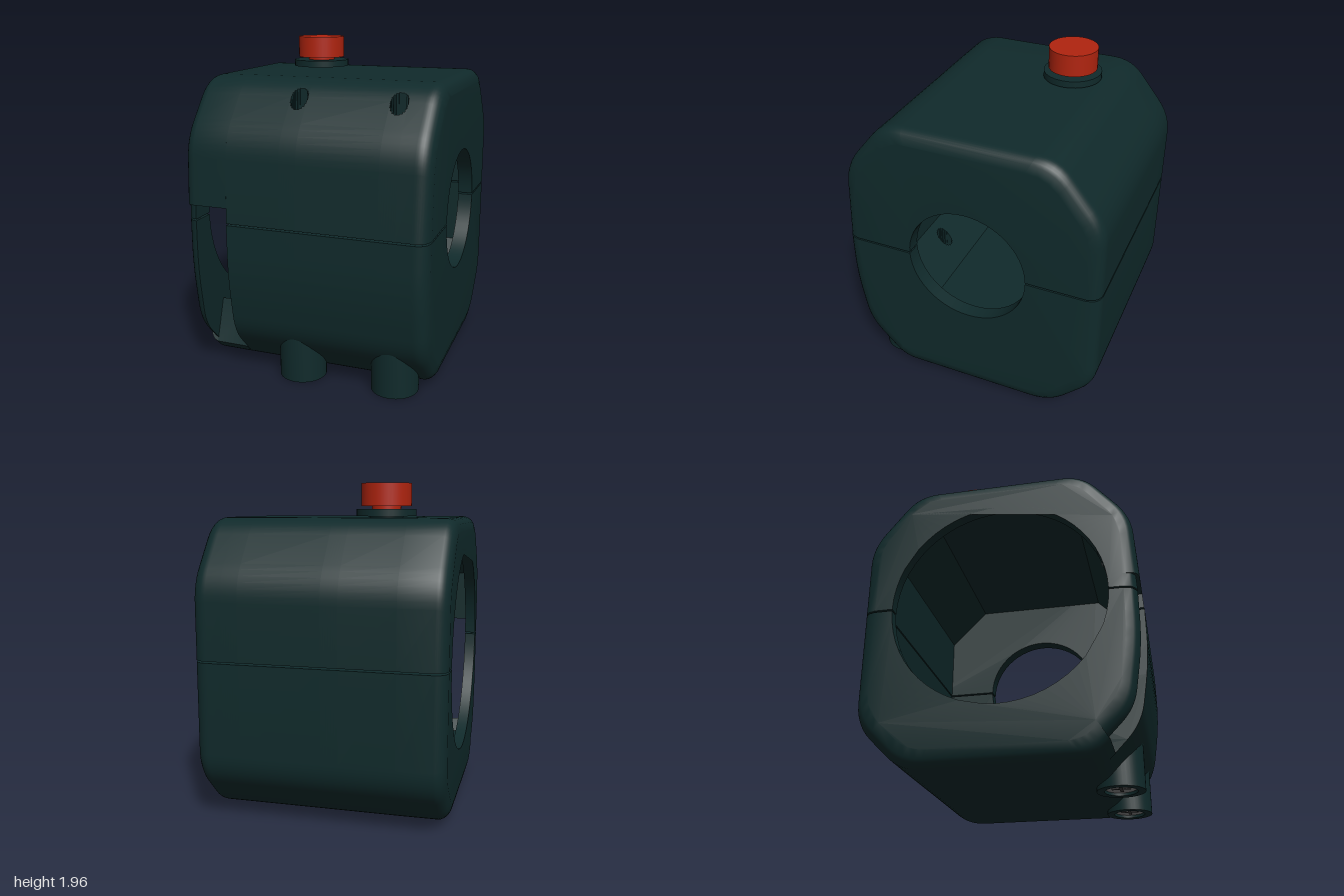
import * as THREE from 'three';
import { mergeGeometries, toCreasedNormals } from 'three/addons/utils/BufferGeometryUtils.js';

const CY = 0.957;      // height of the bore axis and the split
const GAP = 0.005;     // half of the gap between the two shells
const HALF = 0.727;    // half length along the bore
const EDGE = 0.08;     // rounding of the end edges
const HOLE_X = -0.58, HOLE_R = 0.05, HOLES = [-0.08, 0.497];
const TOP = CY + GAP, LOW = CY - GAP;

// Polyline through [x, y, cornerRadius] points
function rounded(pts) {
  const out = [];
  pts.forEach(([x, y, r], i) => {
    const p = new THREE.Vector2(x, y);
    if (!r) { out.push(p); return; }
    const toward = (q) => p.clone().add(new THREE.Vector2(q[0] - x, q[1] - y).setLength(r));
    const curve = new THREE.QuadraticBezierCurve(toward(pts[i - 1]), p, toward(pts[i + 1]));
    out.push(...curve.getPoints(6));
  });
  return out;
}

// Half circle of the bore, from the -x side to the +x side
function halfBore(r, up) {
  const out = [];
  for (let i = 0; i <= 28; i++) {
    const a = Math.PI * (1 - i / 28);
    const y = r * Math.sin(a);
    out.push(new THREE.Vector2(r * Math.cos(a), up ? Math.max(CY + y, TOP) : Math.min(CY - y, LOW)));
  }
  return out;
}

// Keeps the part of a polygon on one side of x = a
function clip(poly, a, sign) {
  const out = [];
  poly.forEach((p, i) => {
    const q = poly[(i + 1) % poly.length];
    const dp = (p.x - a) * sign, dq = (q.x - a) * sign;
    if (dp >= 0) out.push(p);
    if (dp * dq < 0) out.push(p.clone().lerp(q, dp / (dp - dq)));
  });
  return out;
}

// Extrudes a section along the bore and rounds the outer edges near the ends
function slab(poly, u0, u1, steps = 1) {
  const g = new THREE.ExtrudeGeometry(new THREE.Shape(poly), { depth: u1 - u0, steps, bevelEnabled: false });
  g.translate(0, 0, u0);
  const p = g.attributes.position;
  for (let i = 0; i < p.count; i++) {
    const x = p.getX(i), y = p.getY(i) - CY;
    const d = Math.min(EDGE, Math.abs(p.getZ(i)) - (HALF - EDGE));
    if (d <= 0 || Math.hypot(x, y) < 0.7) continue;
    const k = 1 - (EDGE - Math.sqrt(EDGE * EDGE - d * d)) / 0.85;
    p.setXY(i, x * k, CY + y * k);
  }
  return g;
}

// One shell: bored end walls, hollow middle, side slot and screw holes
function shell(s) {
  const parts = [
    slab([...s.outerPlate, ...s.boreBig], -HALF, -0.66, 6),
    slab(s.slotSection, -0.66, -0.454),
    slab([...s.outer, ...s.boreSmall], 0.637, HALF, 7),
  ];
  const main = [...s.outer, ...s.inner];
  let u = -0.454;
  for (const c of HOLES) {
    parts.push(slab(main, u, c - HOLE_R));
    const n = 10;
    for (let i = 0; i < n; i++) {
      const a0 = Math.PI * i / n, a1 = Math.PI * (i + 1) / n;
      const w = HOLE_R * Math.sin((a0 + a1) / 2);
      for (const side of [-1, 1]) {
        parts.push(slab(clip(main, HOLE_X + side * w, side),
          c - HOLE_R * Math.cos(a0), c - HOLE_R * Math.cos(a1)));
      }
    }
    u = c + HOLE_R;
  }
  parts.push(slab(main, u, 0.637));
  return toCreasedNormals(mergeGeometries(parts), 0.55);
}

export function createModel() {
  const model = new THREE.Group();
  const body = new THREE.MeshStandardMaterial({ color: 0x102a2b });
  const red = new THREE.MeshStandardMaterial({ color: 0xb0240f });
  const steel = new THREE.MeshStandardMaterial({ color: 0x858585 });
  const groove = new THREE.MeshStandardMaterial({ color: 0x3a3a3a });
  body.name = 'darkTeal'; red.name = 'buttonRed'; steel.name = 'screwGrey'; groove.name = 'grooveGrey';

  const add = (parent, name, geo, mat, x = 0, y = 0, z = 0) => {
    const m = new THREE.Mesh(geo, mat);
    m.name = name;
    m.position.set(x, y, z);
    parent.add(m);
    return m;
  };
  const cyl = (r, h) => new THREE.CylinderGeometry(r, r, h, 40);
  const v = (x, y) => new THREE.Vector2(x, y);

  // Housing, with its bore along local z
  const housing = new THREE.Group();
  housing.name = 'housing';
  housing.rotation.y = 1.1537;
  model.add(housing);

  const crown = [[0.8, TOP], [0.8, 1.42, 0.12], [0.52, 1.765, 0.12], [-0.5, 1.765, 0.12], [-0.765, 1.45, 0.12]];
  const crownInner = [v(-0.43, 1.61), v(0.43, 1.61), v(0.67, 1.37), v(0.67, TOP)];
  add(housing, 'upperShell', shell({
    outer: rounded([...crown, [-0.795, TOP]]),
    outerPlate: rounded([...crown, [-0.79, 1.05], [-0.77, 1.05], [-0.775, TOP]]),
    inner: [v(-0.67, TOP), v(-0.67, 1.37), ...crownInner],
    slotSection: [...rounded([...crown, [-0.79, 1.05]]), v(-0.67, 1.05), v(-0.67, 1.37), ...crownInner],
    boreBig: halfBore(0.62, true),
    boreSmall: halfBore(0.365, true),
  }), body);

  // Lower profiles run from the +x side round to the -x side as well
  const base = [[0.8, LOW], [0.8, 0.29, 0.12], [0.53, 0.02, 0.12], [-0.5, 0.02, 0.08]];
  const baseInner = [v(-0.43, 0.3), v(0.43, 0.3), v(0.67, 0.54), v(0.67, LOW)];
  add(housing, 'lowerShell', shell({
    outer: rounded([...base, [-0.74, 0.27, 0.12], [-0.8, 0.65, 0.15], [-0.797, LOW]]),
    outerPlate: rounded([...base, [-0.59, 0.11], [-0.575, 0.13], [-0.72, 0.28, 0.1], [-0.778, 0.65, 0.15], [-0.775, LOW]]),
    inner: [v(-0.67, LOW), v(-0.67, 0.54), ...baseInner],
    slotSection: [...rounded([...base, [-0.59, 0.11]]), v(-0.5, 0.37), ...baseInner],
    boreBig: halfBore(0.62, false),
    boreSmall: halfBore(0.365, false),
  }), body);

  // Screw bosses with recessed cross-head screws
  for (const u of HOLES) {
    const boss = new THREE.Group();
    boss.name = 'screwBoss';
    boss.position.set(HOLE_X, 0, u);
    housing.add(boss);
    const profile = [v(0.05, 0.04), v(0.095, 0.04), v(0.095, 0), v(0.14, 0), v(0.14, 0.29), v(0.05, 0.29)];
    const tube = new THREE.LatheGeometry(profile, 40);
    add(boss, 'bossTube', toCreasedNormals(tube, 0.5), body);
    add(boss, 'screwHead', cyl(0.09, 0.025), steel, 0, 0.028, 0);
    add(boss, 'screwShaft', cyl(0.049, 0.26), steel, 0, 0.17, 0);
    add(boss, 'crossSlot', new THREE.BoxGeometry(0.11, 0.004, 0.018), groove, 0, 0.015, 0);
    add(boss, 'crossSlot', new THREE.BoxGeometry(0.018, 0.004, 0.11), groove, 0, 0.015, 0);
  }

  // Push button on the top
  const button = new THREE.Group();
  button.name = 'pushButton';
  button.position.set(-0.152, 0, -0.35);
  model.add(button);
  add(button, 'collarBase', cyl(0.1, 0.02), body, 0, 1.767, 0);
  add(button, 'collar', cyl(0.175, 0.04), body, 0, 1.792, 0);
  add(button, 'buttonStem', cyl(0.085, 0.03), red, 0, 1.823, 0);
  add(button, 'buttonCap', cyl(0.147, 0.13), red, 0, 1.895, 0);

  return model;
}
